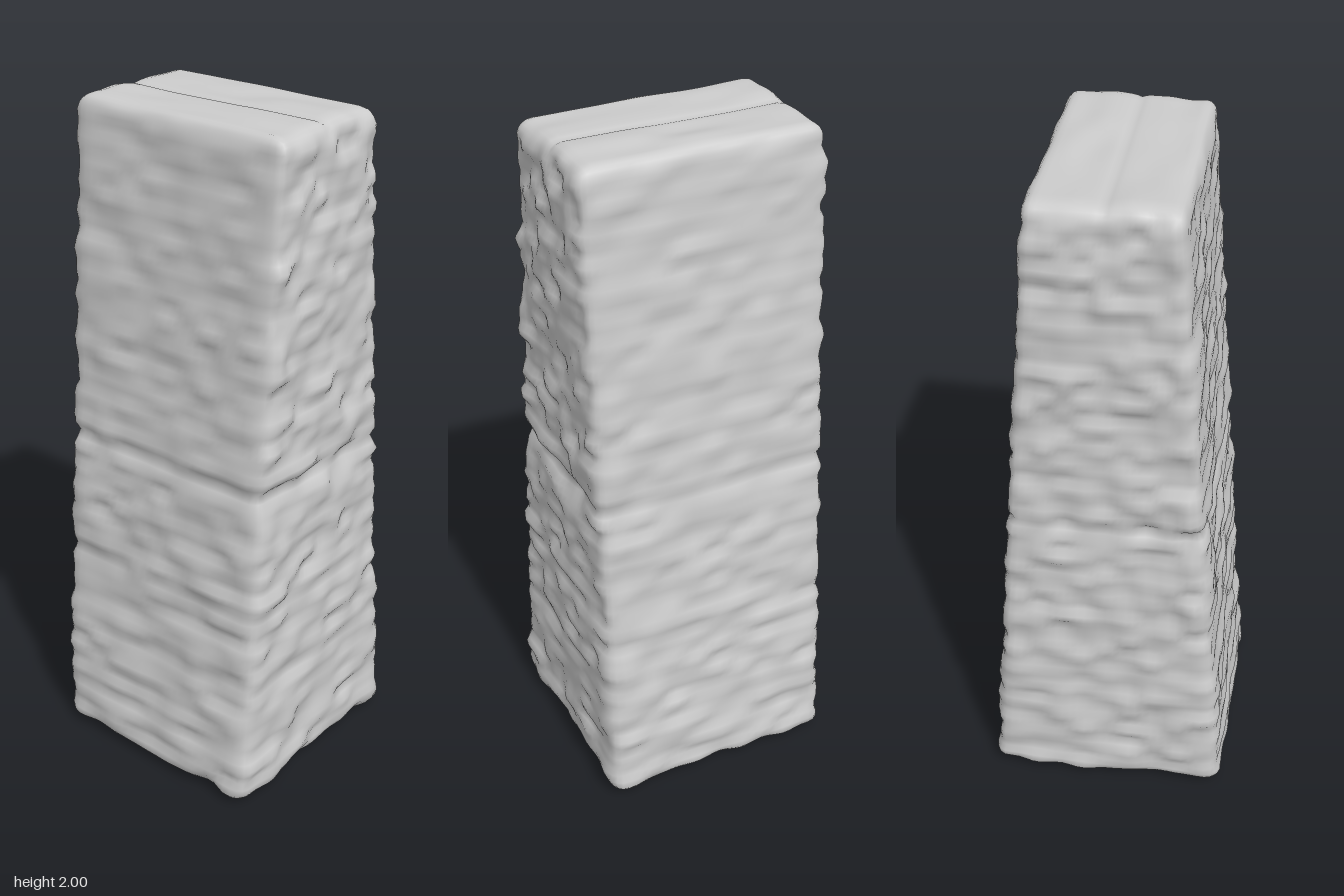
import * as THREE from 'three';
import { mergeVertices } from 'three/addons/utils/BufferGeometryUtils.js';

const HALF = new THREE.Vector3(0.36, 0.989, 0.355); // half sizes before tapering
const EDGE = 0.045;                                 // rounding of the worn edges
const { lerp, clamp, smoothstep } = THREE.MathUtils;

// Repeatable pseudo-random value for a lattice point
function hash(x, y, z) {
  let h = Math.imul(x, 374761393) ^ Math.imul(y, 668265263) ^ Math.imul(z, 2147483647 - 1274126177);
  h = Math.imul(h ^ (h >>> 13), 1274126177);
  h = Math.imul(h ^ (h >>> 15), 2246822519);
  return ((h ^ (h >>> 16)) >>> 0) / 4294967295;
}

// Smooth value noise in -1..1
function noise(x, y, z) {
  const i = Math.floor(x), j = Math.floor(y), k = Math.floor(z);
  const u = smoothstep(x - i, 0, 1), v = smoothstep(y - j, 0, 1), w = smoothstep(z - k, 0, 1);
  const row = (b, c) => lerp(hash(i, b, c), hash(i + 1, b, c), u);
  const layer = (c) => lerp(row(j, c), row(j + 1, c), v);
  return lerp(layer(k), layer(k + 1), w) * 2 - 1;
}

// Height of the rough stone: flat lumps in courses, with a seam at mid height
function relief(p, dir) {
  const lumps = 0.013 * noise(p.x / 0.075 + 40, p.y / 0.042, p.z / 0.075 + 40);
  const swell = 0.007 * noise(p.x / 0.15, p.y / 0.09 + 9, p.z / 0.15);
  const courses = 0.006 * (Math.abs(Math.sin((Math.PI * p.y) / 0.076)) - 0.6);
  const seam = -0.02 * Math.exp(-(((p.y + 0.01) / 0.013) ** 2));
  const sides = lumps + swell + courses + seam;
  // The top is worn smooth, with one shallow crease along its middle
  const crown = 0.008 * noise(p.x / 0.16, 3.5, p.z / 0.12) - 0.006 * Math.exp(-((p.z / 0.02) ** 2));
  return lerp(sides, crown, clamp(dir.y, 0, 1));
}

function stoneGeometry() {
  let geo = new THREE.BoxGeometry(HALF.x * 2, HALF.y * 2, HALF.z * 2, 30, 90, 30);
  geo.deleteAttribute('uv');
  geo.deleteAttribute('normal');
  geo = mergeVertices(geo);
  const pos = geo.attributes.position;
  const inner = HALF.clone().subScalar(EDGE);
  const p = new THREE.Vector3(), core = new THREE.Vector3(), dir = new THREE.Vector3();
  for (let i = 0; i < pos.count; i++) {
    p.fromBufferAttribute(pos, i);
    // Round the edges, then push the surface in and out
    core.copy(p).clamp(inner.clone().negate(), inner);
    dir.subVectors(p, core).normalize();
    p.copy(core).addScaledVector(dir, EDGE);
    p.addScaledVector(dir, relief(p, dir));
    // Front and back lean inwards towards the top
    const t = (p.y + HALF.y) / (2 * HALF.y);
    p.z *= lerp(1, 0.585, t);
    pos.setXYZ(i, p.x, p.y + 1, p.z);
  }
  geo.computeVertexNormals();
  return geo;
}

export function createModel() {
  const group = new THREE.Group();
  group.name = 'stonePillar';
  const stone = new THREE.Mesh(stoneGeometry(), new THREE.MeshStandardMaterial({ color: 0xcccccc }));
  stone.name = 'taperedStoneBlock';
  group.add(stone);
  return group;
}
